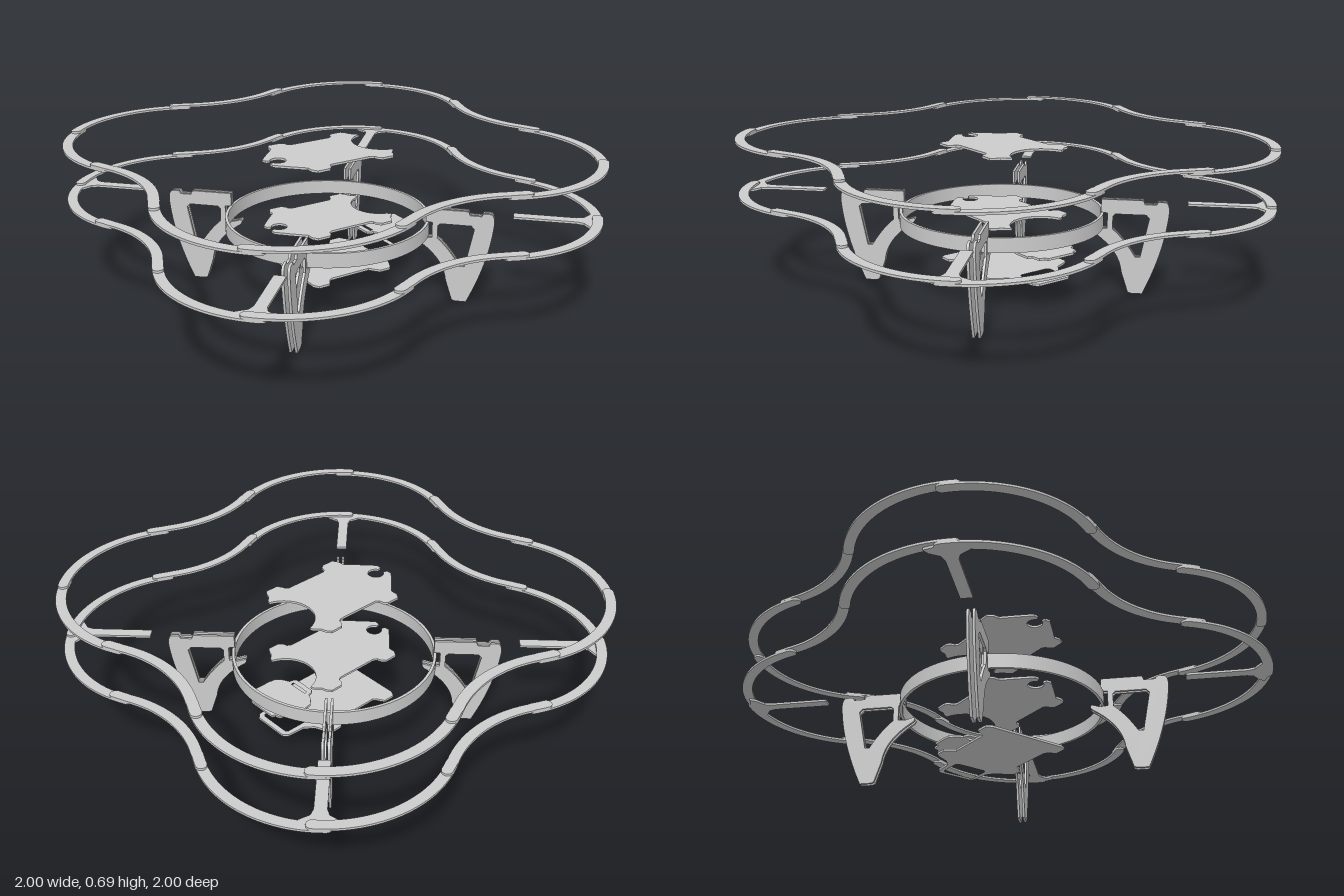
import * as THREE from 'three';
import { toCreasedNormals } from 'three/addons/utils/BufferGeometryUtils.js';

const material = new THREE.MeshStandardMaterial({ color: 0xcccccc });
const V = (x, y) => new THREE.Vector2(x, y);

// Extrude a shape by t, smoothing only gentle curves
function extrude(shape, t) {
  const geo = new THREE.ExtrudeGeometry(shape, { depth: t, bevelEnabled: false, curveSegments: 64 });
  return toCreasedNormals(geo, 0.5);
}

// Flat slab: shape (x, z) laid on height y
function slab(name, shape, y, t = 0.01) {
  const geo = extrude(shape, t).rotateX(Math.PI / 2).translate(0, y + t, 0);
  const mesh = new THREE.Mesh(geo, material);
  mesh.name = name;
  return mesh;
}

// Points on an arc, angles in degrees
function arc(cx, cy, r, a0, a1, n = 24) {
  return Array.from({ length: n + 1 }, (_, i) => {
    const a = THREE.MathUtils.degToRad(a0 + (a1 - a0) * i / n);
    return V(cx + r * Math.cos(a), cy + r * Math.sin(a));
  });
}

// Strip of constant width with round ends along a centre line
function band(points, half = 0.0225) {
  const tangent = i => points[Math.min(i + 1, points.length - 1)].clone()
    .sub(points[Math.max(i - 1, 0)]).normalize();
  const side = s => points.map((p, i) => {
    const t = tangent(i);
    return V(p.x - t.y * half * s, p.y + t.x * half * s);
  });
  const cap = i => {
    const t = tangent(i), dir = i === 0 ? 180 : 0;
    const a = THREE.MathUtils.radToDeg(Math.atan2(t.y, t.x)) + dir;
    return arc(points[i].x, points[i].y, half, a - 90, a + 90, 8).slice(1, -1);
  };
  return new THREE.Shape([...side(-1), ...cap(points.length - 1), ...side(1).reverse(), ...cap(0)]);
}

// Outline symmetric about the x axis from its upper half, listed left to right
function mirrored(half) {
  const pts = half.map(p => V(...p));
  const lower = pts.filter(p => p.y !== 0).map(p => V(p.x, -p.y)).reverse();
  return new THREE.Shape([...pts, ...lower]);
}

// Four-lobed propeller guard of overlapping strips
function guard(name, y) {
  const g = new THREE.Group();
  g.name = name;
  const flip = pts => pts.map(p => V(-p.x, p.y)).reverse();
  const lobe = arc(0.47, 0.47, 0.5075, 42, 116.8, 36);
  const end = arc(0.47, 0.47, 0.5075, 110, 116.8, 4);
  const dip = arc(0, 1.4, 0.532, -63.2, -116.8, 32);
  const bridge = [...end, ...dip.slice(1), ...flip(end).slice(1)];
  for (let k = 0; k < 4; k++) {
    const sideGroup = new THREE.Group();
    sideGroup.name = 'guardSide';
    const h = y + (k % 2 ? 0 : 0.01);
    sideGroup.add(slab('guardLobe', band(lobe), h), slab('guardLobe', band(flip(lobe)), h));
    sideGroup.add(slab('guardBridge', band(bridge), h + 0.01));
    sideGroup.rotation.y = k * Math.PI / 2;
    g.add(sideGroup);
  }
  return g;
}

// Diagonal arm that flares into the guard
function armShape() {
  return mirrored([[0.82, 0.025], [1.085, 0.025], [1.115, 0.035], [1.14, 0.075], [1.165, 0.09], [1.178, 0.04]]);
}

// Leg plate with a slot for the ring and a tapering window
function legShape() {
  const s = new THREE.Shape();
  const k = Math.SQRT2;
  s.moveTo(0.45 * k, 0);
  s.quadraticCurveTo(0.515 * k, 0.2, 0.525 * k, 0.38);
  s.quadraticCurveTo(0.525 * k, 0.425, 0.51 * k, 0.425);
  for (const [x, y] of [[0.49, 0.425], [0.485, 0.412], [0.45, 0.412], [0.445, 0.43], [0.315, 0.43],
    [0.315, 0.372], [0.335, 0.368], [0.335, 0.298], [0.31, 0.295], [0.285, 0.306]]) s.lineTo(x * k, y);
  s.quadraticCurveTo(0.272 * k, 0.295, 0.295 * k, 0.275);
  s.quadraticCurveTo(0.375 * k, 0.2, 0.383 * k, 0.1);
  s.lineTo(0.405 * k, 0.005);
  s.lineTo(0.415 * k, 0);
  s.closePath();
  const hole = new THREE.Path();
  hole.moveTo(0.455 * k, 0.365);
  hole.lineTo(0.36 * k, 0.365);
  hole.lineTo(0.352 * k, 0.355);
  hole.lineTo(0.352 * k, 0.295);
  hole.quadraticCurveTo(0.39 * k, 0.25, 0.425 * k, 0.17);
  hole.lineTo(0.44 * k, 0.17);
  hole.lineTo(0.465 * k, 0.35);
  hole.closePath();
  s.holes.push(hole);
  return s;
}

// Deck with round notch at the tail, four ears and a round bay at the nose
function deckShape() {
  const notch = arc(-0.25, 0, 0.035, 0, 155, 12).map(p => [p.x, p.y]);
  const bay = arc(0.29, 0, 0.135, 105, 180, 14).map(p => [p.x, p.y]);
  return mirrored([...notch, [-0.3, 0.02], [-0.302, 0.045], [-0.25, 0.1], [-0.195, 0.155],
    [-0.195, 0.185], [-0.18, 0.21], [-0.12, 0.21], [-0.105, 0.195], [-0.1, 0.175], [-0.085, 0.165],
    [0.115, 0.165], [0.13, 0.175], [0.135, 0.195], [0.15, 0.21], [0.205, 0.21], [0.22, 0.19],
    [0.225, 0.17], [0.25, 0.145], ...bay]);
}

// Lower tray with ears and an open frame at the nose
function trayShape() {
  const s = mirrored([[-0.19, 0], [-0.19, 0.185], [-0.175, 0.21], [-0.12, 0.21], [-0.1, 0.175],
    [-0.085, 0.165], [0.115, 0.165], [0.135, 0.195], [0.15, 0.21], [0.2, 0.21], [0.22, 0.18],
    [0.24, 0.135], [0.28, 0.105], [0.36, 0.1], [0.38, 0.08]]);
  s.holes.push(new THREE.Path([V(0.24, -0.07), V(0.24, 0.07), V(0.25, 0.08), V(0.345, 0.08),
    V(0.355, 0.07), V(0.355, -0.07), V(0.345, -0.08), V(0.25, -0.08)]));
  return s;
}

// Small nose plate with a cross slot
function nosePlateShape() {
  const s = mirrored([[0.18, 0.05], [0.19, 0.06], [0.21, 0.065], [0.225, 0.095], [0.25, 0.12], [0.28, 0.125],
    [0.355, 0.125], [0.36, 0.105], [0.405, 0.1], [0.41, 0.075], [0.425, 0.07]]);
  s.holes.push(new THREE.Path([V(0.205, -0.045), V(0.205, 0.045), V(0.218, 0.045), V(0.218, -0.045)]));
  return s;
}

export function createModel() {
  const model = new THREE.Group();
  model.name = 'droneFrame';

  model.add(guard('upperGuard', 0.665), guard('lowerGuard', 0.415));

  // Centre ring
  const ring = new THREE.Shape().absarc(0, 0, 0.457, 0, Math.PI * 2);
  ring.holes.push(new THREE.Path().absarc(0, 0, 0.444, 0, Math.PI * 2, true));
  model.add(slab('centreRing', ring, 0.3, 0.065));

  // Diagonal arms and paired leg plates
  const legGeo = extrude(legShape(), 0.011);
  for (let k = 0; k < 4; k++) {
    const corner = new THREE.Group();
    corner.name = 'corner';
    corner.add(slab('arm', armShape(), 0.415));
    for (const z of [-0.018, 0.007]) {
      const leg = new THREE.Mesh(legGeo, material);
      leg.name = 'legPlate';
      leg.position.z = z;
      corner.add(leg);
    }
    corner.rotation.y = Math.PI / 4 + k * Math.PI / 2;
    model.add(corner);
  }

  // Stack of body plates
  model.add(slab('topDeck', deckShape(), 0.648));
  model.add(slab('middleDeck', deckShape(), 0.345));
  model.add(slab('nosePlate', nosePlateShape(), 0.243));
  model.add(slab('bottomTray', trayShape(), 0.12));
  return model;
}
